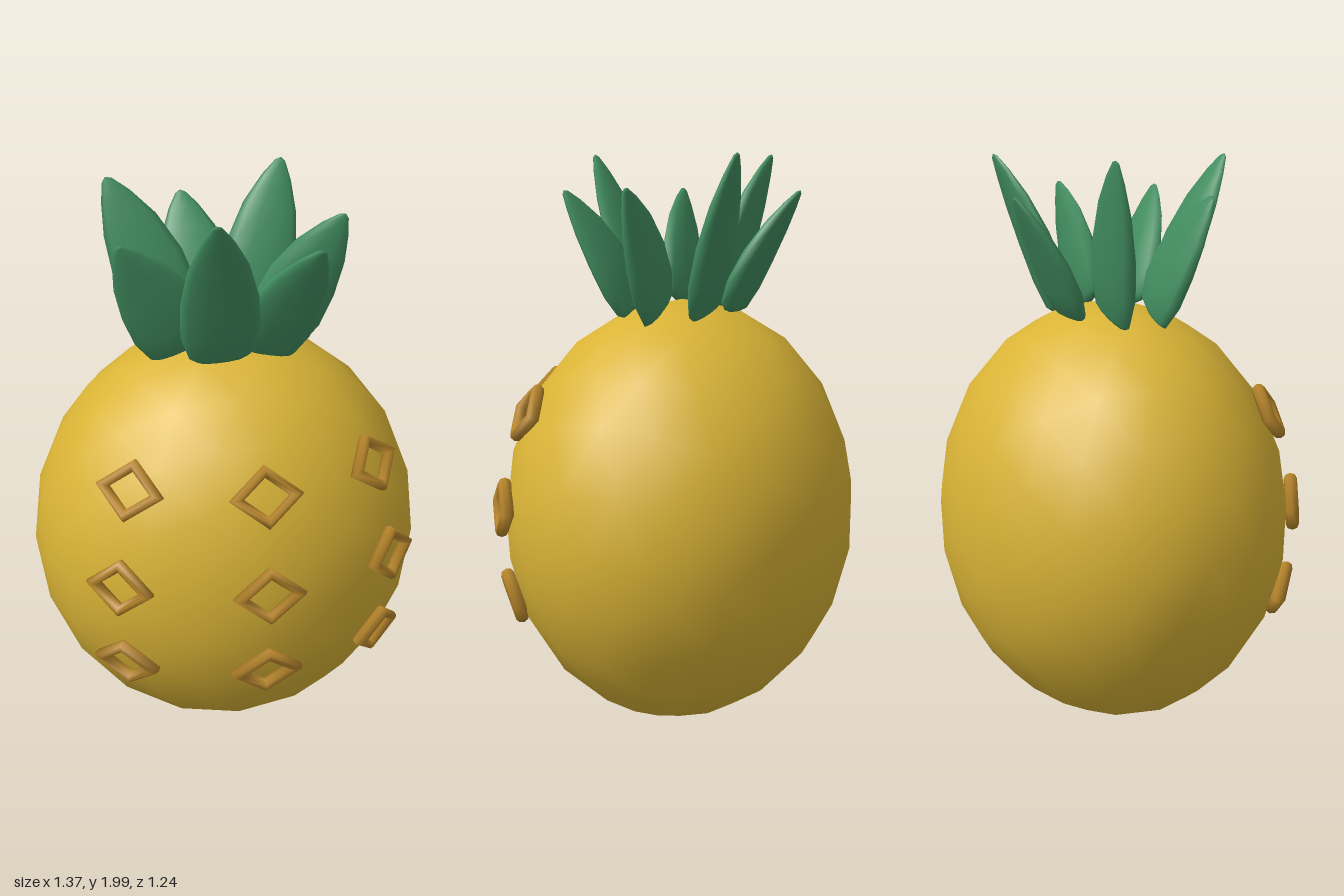
import * as THREE from 'three';
import { mergeVertices } from 'three/addons/utils/BufferGeometryUtils.js';

const CENTER = new THREE.Vector3(0, 0.76, -0.02);
const RADII = new THREE.Vector3(0.685, 0.75, 0.6);

const skin = new THREE.MeshStandardMaterial({ name: 'golden skin', color: 0xdab436 });
const rind = new THREE.MeshStandardMaterial({ name: 'amber rind', color: 0xb8862c });
const green = new THREE.MeshStandardMaterial({ name: 'leaf green', color: 0x428e60 });

// Coarse, smoothly shaded ellipsoid
function fruitBody() {
  let geo = new THREE.IcosahedronGeometry(1, 3);
  geo.deleteAttribute('normal');
  geo.deleteAttribute('uv');
  geo = mergeVertices(geo, 1e-4);
  geo.scale(RADII.x, RADII.y, RADII.z);
  geo.translate(CENTER.x, CENTER.y, CENTER.z);
  geo.computeVertexNormals();
  const mesh = new THREE.Mesh(geo, skin);
  mesh.name = 'fruitBody';
  return mesh;
}

// Diamond ring lying on the front of the body
function diamond(x, y) {
  const u = x / RADII.x, v = (y - CENTER.y) / RADII.y;
  const w = Math.sqrt(1 - u * u - v * v);
  const normal = new THREE.Vector3(u / RADII.x, v / RADII.y, w / RADII.z).normalize();
  const mesh = new THREE.Mesh(new THREE.TorusGeometry(0.09, 0.023, 8, 4), rind);
  mesh.name = 'diamond';
  mesh.scale.set(1.1, 0.92, 1);
  mesh.position.set(x, y, CENTER.z + RADII.z * w).addScaledVector(normal, 0.014);
  mesh.lookAt(mesh.position.clone().add(normal));
  return mesh;
}

// Leaf cross-sections: [position along leaf, half width, half thickness]
const SECTIONS = [
  [-0.02, 0.075, 0.012], [0.02, 0.105, 0.028], [0.2, 0.13, 0.038], [0.45, 0.125, 0.036],
  [0.7, 0.095, 0.027], [0.88, 0.052, 0.016], [0.98, 0.018, 0.008],
];

// Flat leaf facing the front, leaning outward from the crown
function leaf(angle, tipY) {
  const at = (r, y) => new THREE.Vector3(Math.cos(angle) * r, y, CENTER.z + Math.sin(angle) * r);
  const base = at(0.18, 1.485), tip = at(0.405, tipY);
  const axis = tip.clone().sub(base).normalize();
  const wide = new THREE.Vector3(1, 0, 0).addScaledVector(axis, -axis.x).normalize();
  const thick = wide.clone().cross(axis);
  const out = new THREE.Vector3(Math.cos(angle), 0, Math.sin(angle));
  const sides = 10, points = [], index = [];
  const add = p => points.push(p.x, p.y, p.z);
  for (const [t, hw, ht] of SECTIONS) {
    const mid = base.clone().lerp(tip, t).addScaledVector(out, -0.06 * t * (1 - t));
    for (let j = 0; j < sides; j++) {
      const a = (j / sides) * Math.PI * 2;
      add(mid.clone().addScaledVector(wide, Math.cos(a) * hw).addScaledVector(thick, Math.sin(a) * ht));
    }
  }
  const last = (SECTIONS.length - 1) * sides, bottom = SECTIONS.length * sides;
  add(base.clone().addScaledVector(axis, -0.02));
  add(tip);
  for (let j = 0; j < sides; j++) {
    const k = (j + 1) % sides;
    for (let i = 0; i < last; i += sides) {
      index.push(i + j, i + sides + j, i + k, i + k, i + sides + j, i + sides + k);
    }
    index.push(bottom, j, k, bottom + 1, last + k, last + j);
  }
  // wide, axis, thick form a right-handed frame, so reverse to face outward
  for (let i = 0; i < index.length; i += 3) {
    [index[i + 1], index[i + 2]] = [index[i + 2], index[i + 1]];
  }
  const geo = new THREE.BufferGeometry();
  geo.setAttribute('position', new THREE.Float32BufferAttribute(points, 3));
  geo.setIndex(orientOutward(points, index));
  geo.computeVertexNormals();
  const mesh = new THREE.Mesh(geo, green);
  mesh.name = 'leaf';
  return mesh;
}

// Flip all faces if the enclosed volume is negative
function orientOutward(points, index) {
  const p = i => new THREE.Vector3().fromArray(points, i * 3);
  let volume = 0;
  for (let i = 0; i < index.length; i += 3) {
    volume += p(index[i]).dot(p(index[i + 1]).cross(p(index[i + 2])));
  }
  return volume < 0 ? index.slice().reverse() : index;
}

export function createModel() {
  const model = new THREE.Group();
  model.name = 'pineapple';
  model.add(fruitBody());

  // Three rows of diamonds
  const diamonds = new THREE.Group();
  diamonds.name = 'diamonds';
  const rows = [[1.145, -0.37, 0.43], [0.83, -0.42, 0.49], [0.515, -0.405, 0.46]];
  for (const [y, left, right] of rows) {
    for (const x of [left, 0.045, right]) diamonds.add(diamond(x, y));
  }
  model.add(diamonds);

  // Ring of seven leaves
  const crown = new THREE.Group();
  crown.name = 'crown';
  [1.89, 1.88, 2, 1.88, 2, 1.88, 2].forEach((tipY, i) => {
    crown.add(leaf((i / 7) * Math.PI * 2, tipY));
  });
  model.add(crown);
  return model;
}
